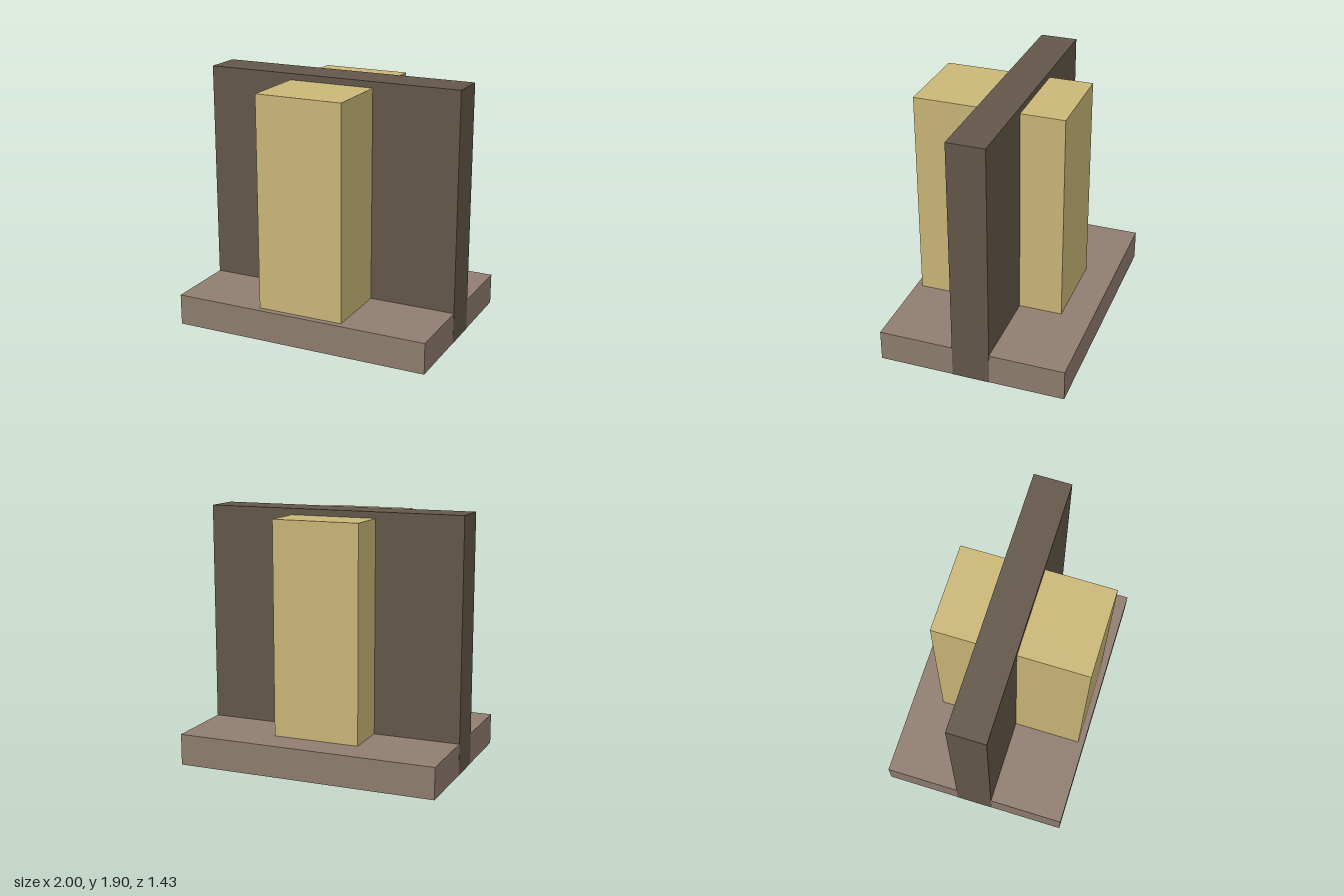
import * as THREE from 'three';

// Box given by its lower and upper corners
function block(name, color, [x0, y0, z0], [x1, y1, z1]) {
  const geometry = new THREE.BoxGeometry(x1 - x0, y1 - y0, z1 - z0);
  geometry.translate((x0 + x1) / 2, (y0 + y1) / 2, (z0 + z1) / 2);
  const mesh = new THREE.Mesh(geometry, new THREE.MeshStandardMaterial({ color }));
  mesh.name = name;
  return mesh;
}

export function createModel() {
  const model = new THREE.Group();
  model.name = 'wallWithPillar';

  // Base slab, inset by a hair so the wall shows cleanly at its ends and underside
  const e = 0.001;
  model.add(block('base', 0x8f7d6f, [-1 + e, e, -0.714], [1 - e, 0.238, 0.714]));

  // Upright wall running through the base to the ground
  model.add(block('wall', 0x635749, [-1, 0, -0.143], [1, 1.905, 0.143]));

  // Pillar passing through the wall, deeper at the front
  model.add(block('pillar', 0xcbb778, [-0.333, 0.2, -0.476], [0.333, 1.857, 0.667]));

  return model;
}
